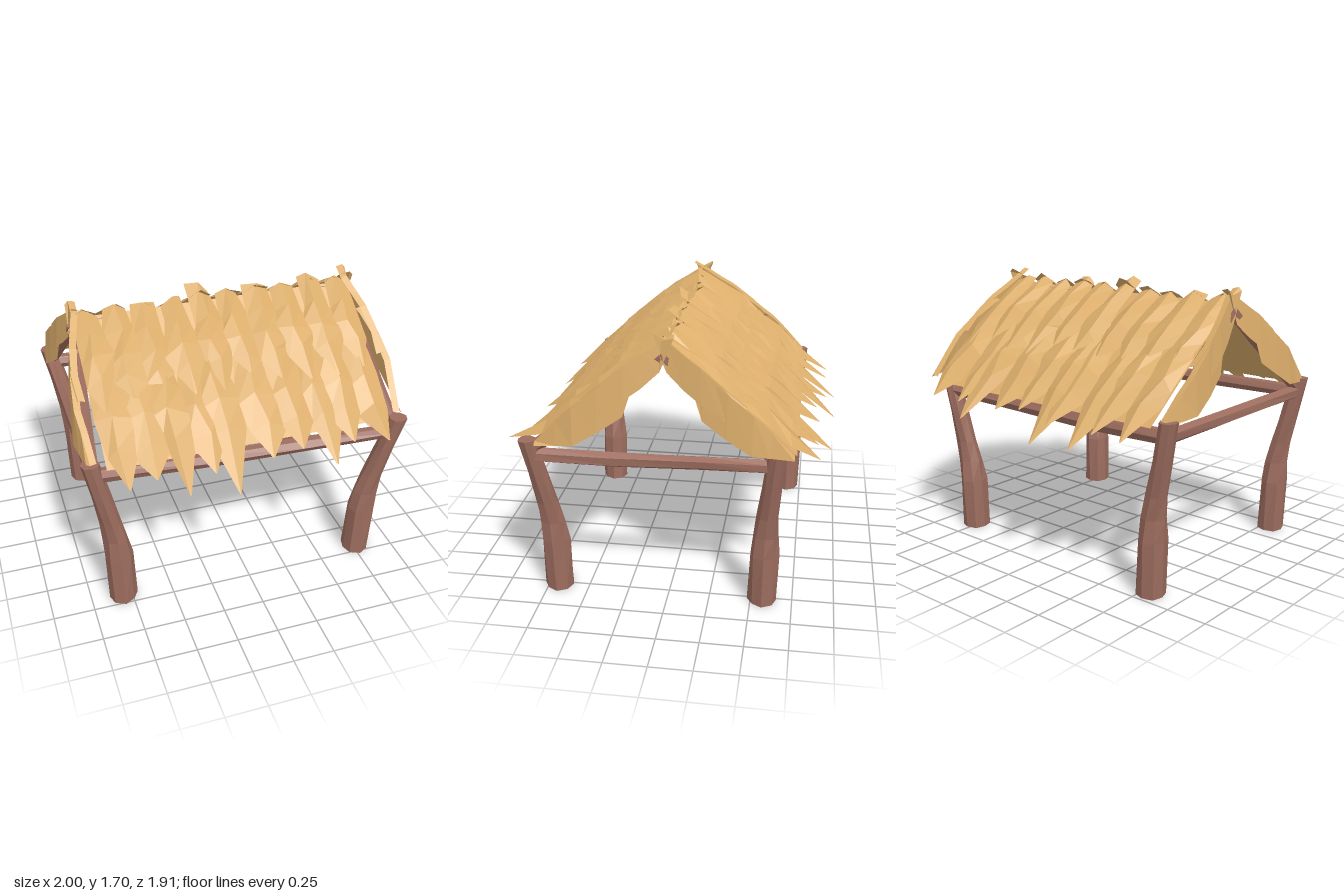
import * as THREE from 'three';

const straw = new THREE.MeshStandardMaterial({ color: 0xdbad6b, flatShading: true, side: THREE.DoubleSide });
straw.name = 'straw';
const wood = new THREE.MeshStandardMaterial({ color: 0x9c6c5e, flatShading: true });
wood.name = 'wood';

// Small seeded noise in -1..1
let seed = 7;
const rnd = () => {
  seed = (seed * 16807) % 2147483647;
  return (seed / 2147483647) * 2 - 1;
};

const add = (group, name, geometry, material) => {
  const mesh = new THREE.Mesh(geometry, material);
  mesh.name = name;
  group.add(mesh);
};

// Rough log: a cylinder whose rings follow [x, y, z, radius] points
function logGeometry(points, sides, upright) {
  const n = points.length - 1;
  const geo = new THREE.CylinderGeometry(1, 1, 1, sides, n);
  const pos = geo.attributes.position;
  const at = i => new THREE.Vector3(points[i][0], points[i][1], points[i][2]);
  const up = new THREE.Vector3(0, 1, 0);
  const dir = upright ? up : at(n).sub(at(0)).normalize();
  const turn = new THREE.Quaternion().setFromUnitVectors(up, dir);
  const v = new THREE.Vector3();
  for (let i = 0; i < pos.count; i++) {
    v.fromBufferAttribute(pos, i);
    const ring = Math.round((0.5 - v.y) * n);
    const lump = 1 + 0.07 * Math.sin(Math.atan2(v.z, v.x) * 3 + ring * 1.7);
    v.y = 0;
    v.multiplyScalar(points[n - ring][3] * lump).applyQuaternion(turn).add(at(n - ring));
    pos.setXYZ(i, v.x, v.y, v.z);
  }
  return geo.toNonIndexed();
}

// Beam with a slight sag and wobble between two points
function beamGeometry(a, b, r) {
  const points = [0, 0.3, 0.65, 1].map((t, i) => [
    ...a.map((c, k) => c + (b[k] - c) * t + (i % 3 ? 0.008 * rnd() - (k === 1 ? 0.006 : 0) : 0)),
    r * (1 + 0.08 * rnd())]);
  return logGeometry(points, 6, false);
}

// Sheet through cross-sections, each a row of [x, y, z] points
function sheetGeometry(rows) {
  const cols = rows[0].length, index = [];
  for (let r = 0; r < rows.length - 1; r++) {
    for (let c = 0; c < cols - 1; c++) {
      const a = r * cols + c, b = a + cols;
      index.push(a, b, a + 1, a + 1, b, b + 1);
    }
  }
  const geo = new THREE.BufferGeometry();
  geo.setAttribute('position', new THREE.Float32BufferAttribute(rows.flat(2), 3));
  geo.setIndex(index);
  const flat = geo.toNonIndexed();
  flat.computeVertexNormals();
  return flat;
}

// Height of the roof slope at distance d from the ridge
const slope = d => 1.61 - 0.8 * d;

// Folded thatch leaf; stations are [distance from ridge, half width, lift]
function leafGeometry(x, side, stations) {
  const raise = 0.012 * rnd();
  return sheetGeometry(stations.map(([d, w, lift]) => {
    const row = [-1, 0, 1].map(k => {
      const edge = Math.min(1, w * 10) * Math.abs(k);
      const px = x + k * w * (1 + 0.2 * rnd()) + (1 - Math.abs(k)) * w * 0.25 * rnd();
      const pd = d + edge * 0.04 * rnd();
      return [THREE.MathUtils.clamp(px, -0.88, 0.88), slope(pd) + lift + raise - edge * 0.045, side * pd];
    });
    return side > 0 ? row : row.reverse();
  }));
}

export function createModel() {
  const model = new THREE.Group();
  model.name = 'thatchedShelter';

  // Bent posts: base x, z then top x, z, height
  const posts = [
    [0.765, 0.685, 0.915, 0.785, 1.04],
    [-0.805, 0.67, -0.95, 0.71, 1.05],
    [-0.805, -0.65, -0.95, -0.7, 1.05],
    [0.765, -0.57, 0.89, -0.63, 1.02],
  ];
  posts.forEach(([bx, bz, tx, tz, h]) => {
    const path = [[0, 0, 0.088], [0.32, 0.07, 0.086], [0.45, 0.16, 0.074], [0.58, 0.34, 0.064], [0.78, 0.66, 0.057], [1, 1, 0.054]];
    const points = path.map(([t, k, r]) => [bx + (tx - bx) * k, h * t, bz + (tz - bz) * k, r]);
    add(model, 'post', logGeometry(points, 8, true), wood);
  });

  // Tie beams between neighbouring posts
  posts.forEach((p, i) => {
    const q = posts[(i + 1) % 4];
    const end = s => [s[2] * 0.98, s[2] > 0 ? 0.94 : 0.96, s[3] * 0.98];
    add(model, 'tieBeam', beamGeometry(end(p), end(q), 0.043), wood);
  });

  // Rafters at both gables and the ridge pole
  posts.forEach(([, , tx, tz]) => {
    const s = Math.sign(tx);
    add(model, 'rafter', beamGeometry([tx * 0.98, 0.98, tz * 0.98], [s * 0.865, 1.56, 0], 0.036), wood);
  });
  add(model, 'ridgePole', beamGeometry([-0.87, 1.56, 0], [0.87, 1.56, 0], 0.035), wood);

  // Thatch: tip of each eave leaf [x, distance from ridge, height]
  const tips = {
    1: [[-0.76, 0.87, 0.94], [-0.6, 0.86, 0.97], [-0.43, 0.93, 0.87], [-0.26, 0.87, 0.95], [-0.14, 0.95, 0.82],
      [0.1, 0.84, 0.95], [0.28, 0.85, 0.98], [0.47, 0.92, 0.88], [0.6, 0.86, 0.97], [0.79, 0.93, 0.99]],
    '-1': [[-0.78, 0.9, 0.94], [-0.58, 0.9, 0.95], [-0.46, 0.96, 0.86], [-0.24, 0.9, 0.95], [-0.16, 0.96, 0.83],
      [0.04, 0.84, 0.98], [0.22, 0.86, 0.96], [0.45, 0.94, 0.88], [0.56, 0.86, 0.96], [0.78, 0.87, 0.95]],
  };
  for (const side of [1, -1]) {
    // Flat lining under the leaves
    const lining = [0, 0.74].map(d => [-0.86, 0.86].map(x => [x, slope(d) - 0.01, side * d]));
    if (side < 0) lining.forEach(r => r.reverse());
    add(model, 'roofLining', sheetGeometry(lining), straw);

    // Pointed eave leaves
    tips[side].forEach(([x, tip, y]) => add(model, 'eaveLeaf', leafGeometry(x, side, [
      [0.26, 0.05, 0.045], [0.42, 0.1, 0.065], [0.56, 0.13, 0.075], [0.7, 0.105, 0.06], [tip, 0.004, y - slope(tip)],
    ]), straw));

    // Ridge leaves with ragged ends
    for (let i = 0; i < 10; i++) {
      const top = i === 4 ? -0.06 : -0.02 + 0.02 * rnd();
      add(model, 'ridgeLeaf', leafGeometry(-0.8 + i * 0.178, side, [
        [top, 0.07, 0.03], [0.14, 0.09, 0.065], [0.28, 0.12, 0.09], [0.38, 0.085, 0.09], [0.5 + 0.06 * rnd(), 0.01, 0.08],
      ]), straw);
    }

    // Leaves folded over the gable edges: [distance, reach in x, lift, drop]
    for (const end of [1, -1]) {
      const verge = (name, stations) => {
        const rows = stations.map(([d, x, lift, drop]) => [
          [end * (x - 0.06), slope(d) + lift - 0.01, side * d],
          [end * (x - 0.02), slope(d) + lift, side * d],
          [end * x, slope(d) - drop, side * d],
        ]);
        if (end * side < 0) rows.forEach(r => r.reverse());
        add(model, name, sheetGeometry(rows), straw);
      };
      verge('upperVergeLeaf', [[-0.06, 0.9, 0.03, -0.01], [0.02, 0.9, 0.05, 0.12], [0.12, 0.93, 0.06, 0.13], [0.21, 0.955, 0.075, 0.12],
        [0.34, 0.975, 0.075, 0.1], [0.46, 0.965, 0.07, -0.04]]);
      verge('lowerVergeLeaf', [[0.18, 0.94, 0.03, 0.12], [0.22, 0.955, 0.04, 0.21], [0.36, 0.985, 0.065, 0.19], [0.5, 1, 0.07, 0.16],
        [0.6, 0.985, 0.055, 0.09], [0.73, 0.97, 0.02, 0]]);
    }
  }
  return model;
}
